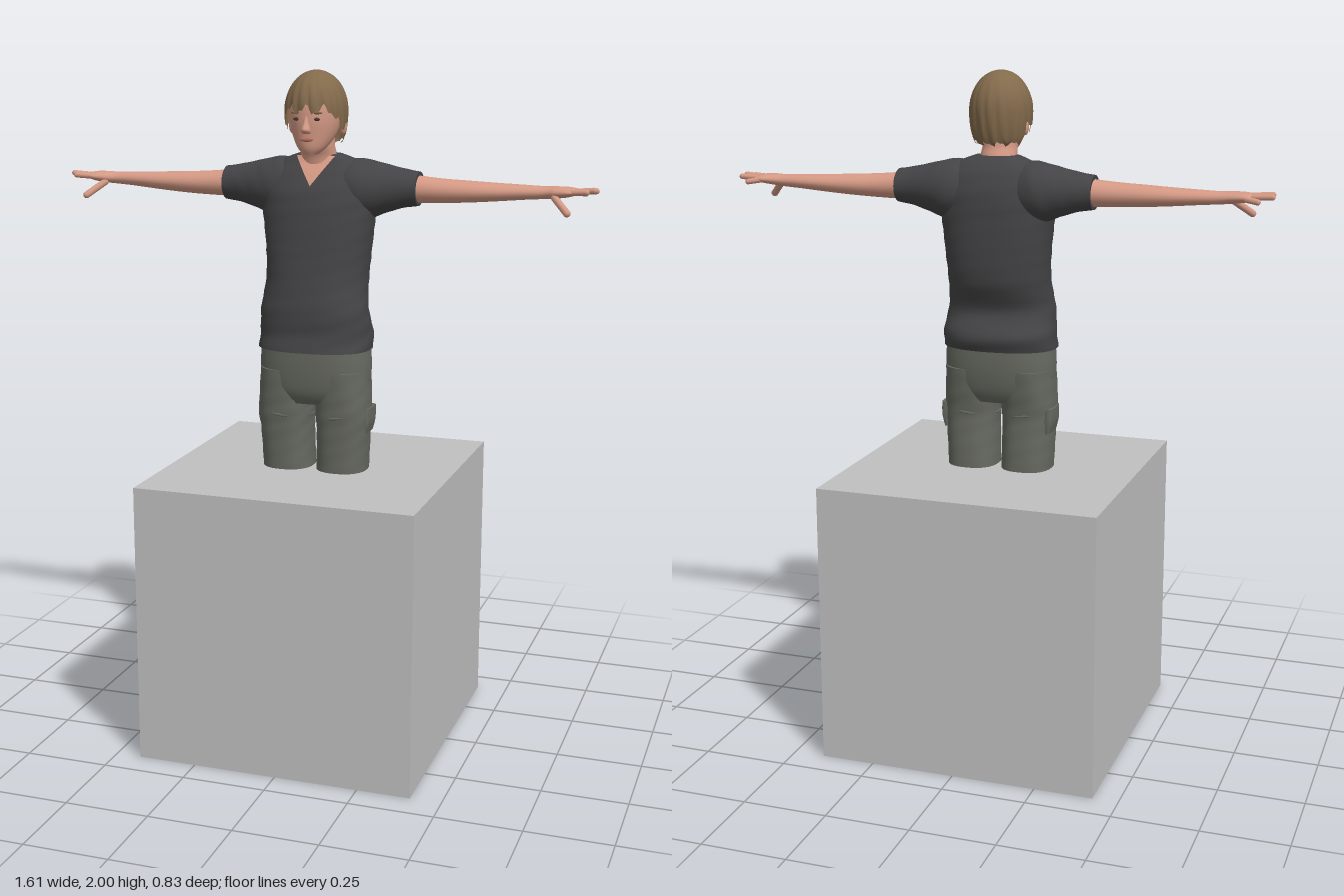
import * as THREE from 'three';

const CX = -0.008; // body centre line
const paint = (name, color, side = THREE.FrontSide) =>
  Object.assign(new THREE.MeshStandardMaterial({ color, side }), { name });

// Smoothly subdivide section rows: [position, centreA, centreB, halfA, halfB]
function dense(rows, k = 5) {
  const out = [];
  for (let i = 0; i < rows.length - 1; i++) {
    const a = rows[Math.max(i - 1, 0)], b = rows[i], c = rows[i + 1], d = rows[Math.min(i + 2, rows.length - 1)];
    for (let s = 0; s < k; s++) {
      const t = s / k;
      out.push(b.map((v, n) => 0.5 * (2 * v + (c[n] - a[n]) * t + (2 * a[n] - 5 * v + 4 * c[n] - d[n]) * t * t
        + (3 * v - a[n] - 3 * c[n] + d[n]) * t ** 3)));
    }
  }
  out.push(rows[rows.length - 1]);
  return out;
}

const power = (v, e) => Math.sign(v) * Math.abs(v) ** (2 / e);

// Closed skin over superellipse sections, along y (side 0) or along x (side 1 or -1)
function loft(rows, { side = 0, e = 2, n = 36, folds = 0 } = {}) {
  const d = dense(rows), flat = r => [r[0], r[1], r[2], 0, 0];
  const rings = [flat(d[0]), d[0], ...d, d[d.length - 1], flat(d[d.length - 1])];
  const pos = [], idx = [];
  rings.forEach(([t, ca, cb, ha, hb]) => {
    for (let j = 0; j < n; j++) {
      const q = j / n * Math.PI * 2;
      const f = 1 + folds * Math.sin(3 * q + t * 45) * Math.sin(t * 70 + 2 * Math.sin(q));
      const a = ca + ha * f * power(Math.cos(q), e), b = cb + hb * f * power(Math.sin(q), e);
      if (side) pos.push(CX + side * t, a, b); else pos.push(CX + a, t, b);
    }
  });
  for (let i = 0; i < rings.length - 1; i++) for (let j = 0; j < n; j++) {
    const a = i * n + j, b = i * n + (j + 1) % n, c = a + n, f = b + n;
    if (side > 0) idx.push(a, b, c, b, f, c); else idx.push(a, c, b, b, c, f);
  }
  return buffer(pos, idx);
}

function buffer(pos, idx) {
  const g = new THREE.BufferGeometry();
  g.setAttribute('position', new THREE.Float32BufferAttribute(pos, 3));
  g.setIndex(idx);
  g.computeVertexNormals();
  return g;
}

// Front depth of a lofted body at a given x and y
function frontZ(rows, x, y, e) {
  const d = dense(rows), i = Math.max(1, d.findIndex(r => r[0] >= y));
  const t = (y - d[i - 1][0]) / (d[i][0] - d[i - 1][0]);
  const r = d[i].map((v, n) => THREE.MathUtils.lerp(d[i - 1][n], v, t));
  return r[2] + r[4] * Math.max(0, 1 - Math.abs(x / r[3]) ** e) ** (1 / e);
}

const TORSO = [
  [1.2, 0, 0.015, 0.17, 0.122], [1.245, 0, 0.004, 0.168, 0.123], [1.315, 0, 0.02, 0.16, 0.106],
  [1.4, 0, -0.003, 0.152, 0.116], [1.5, 0, -0.015, 0.157, 0.115], [1.6, 0, -0.022, 0.168, 0.107],
  [1.66, 0, -0.027, 0.168, 0.098], [1.71, 0, -0.032, 0.15, 0.078], [1.742, 0, -0.032, 0.115, 0.058],
  [1.762, 0, -0.025, 0.065, 0.045]];
const HEAD = [
  [1.766, 0, 0.06, 0.022, 0.025], [1.785, 0, 0.045, 0.042, 0.049], [1.82, 0, 0.025, 0.062, 0.073],
  [1.86, 0, 0.014, 0.073, 0.088], [1.91, 0, 0.008, 0.076, 0.092], [1.95, 0, 0.007, 0.066, 0.08],
  [1.98, 0, 0.007, 0.038, 0.045]];

// Hair cap whose lower edge is high over the face and low at the nape
function hairShell() {
  const n = 96, m = 22, pos = [], idx = [];
  for (let i = 0; i <= m; i++) for (let j = 0; j < n; j++) {
    const u = j / n * Math.PI * 2, front = Math.sin(u), v = i / m;
    const face = THREE.MathUtils.smoothstep(front, 0.25, 0.75), back = THREE.MathUtils.smoothstep(-front, 0, 0.6);
    const edge = 2.05 - 0.5 * face + 0.55 * back + 0.1 * Math.sin(11 * u) + 0.06 * Math.sin(23 * u + 1);
    const p = v * edge, r = 1 + 0.022 * v * Math.sin(17 * u + 5 * v) + 0.012 * v * Math.sin(31 * u - 4 * v);
    const w = Math.sin(p) * (p > 1.57 ? 0.35 + 0.65 / Math.max(Math.sin(p), 0.5) : 1);
    pos.push(CX + 0.089 * r * Math.min(w, 1) * Math.cos(u), 1.89 + 0.11 * Math.cos(p), 0.007 + 0.099 * r * Math.min(w, 1) * Math.sin(u));
  }
  for (let i = 0; i < m; i++) for (let j = 0; j < n; j++) {
    const a = i * n + j, b = i * n + (j + 1) % n;
    idx.push(a, b, a + n, b, b + n, a + n);
  }
  return buffer(pos, idx);
}

// V-shaped opening that follows the chest
function neckOpening() {
  const pos = [], idx = [], m = 10;
  for (let i = 0; i <= m; i++) for (let j = 0; j <= m; j++) {
    const y = 1.675 + 0.083 * i / m, x = (j / m * 2 - 1) * 0.058 * i / m;
    pos.push(CX + x, y, frontZ(TORSO, x, y, 2.3) + 0.004);
  }
  for (let i = 0; i < m; i++) for (let j = 0; j < m; j++) {
    const a = i * (m + 1) + j, c = a + m + 1;
    idx.push(a, a + 1, c, a + 1, c + 1, c);
  }
  return buffer(pos, idx);
}

export function createModel() {
  const model = new THREE.Group();
  const stone = paint('blockGrey', 0xc0c0c0), shirt = paint('shirtCharcoal', 0x444446);
  const cloth = paint('trouserGreen', 0x666960), skin = paint('skin', 0xd59a85, THREE.DoubleSide);
  const hair = paint('hairBrown', 0x836a4c, THREE.DoubleSide), lip = paint('lips', 0xb56f63), dark = paint('eyeDark', 0x4a3a32);
  const add = (name, geometry, material, x = 0, y = 0, z = 0) => {
    const mesh = new THREE.Mesh(geometry, material);
    mesh.name = name;
    mesh.position.set(x, y, z);
    model.add(mesh);
    return mesh;
  };
  const blob = (name, mat, x, y, z, sx, sy, sz) =>
    add(name, new THREE.SphereGeometry(1, 16, 12).scale(sx, sy, sz), mat, CX + x, y, z);
  const finger = (name, from, to, r) => {
    const a = new THREE.Vector3(...from), b = new THREE.Vector3(...to), dir = b.clone().sub(a);
    const mesh = add(name, new THREE.CapsuleGeometry(r, dir.length() - r, 4, 10), skin);
    mesh.position.copy(a.add(b).multiplyScalar(0.5));
    mesh.quaternion.setFromUnitVectors(new THREE.Vector3(0, 1, 0), dir.normalize());
  };

  // Block
  add('block', new THREE.BoxGeometry(0.833, 0.835, 0.83), stone, CX, 0.4175, 0);

  // Shirt body, neck opening and neck
  add('shirtBody', loft(TORSO, { e: 2.3, n: 48, folds: 0.012 }), shirt);
  add('neckOpening', neckOpening(), skin);
  add('neck', loft([[1.7, 0, -0.02, 0.056, 0.05], [1.755, 0, -0.014, 0.053, 0.052], [1.79, 0, 0, 0.05, 0.055], [1.84, 0, 0, 0.05, 0.055]]), skin);

  // Head and face
  add('head', loft(HEAD), skin);
  add('hair', hairShell(), hair);
  add('nose', loft([[1.826, 0, 0.094, 0.013, 0.012], [1.836, 0, 0.1, 0.014, 0.021], [1.855, 0, 0.097, 0.009, 0.014], [1.88, 0, 0.092, 0.006, 0.008]], { n: 14 }), skin);
  blob('mouth', lip, 0, 1.809, frontZ(HEAD, 0, 1.809, 2), 0.021, 0.006, 0.004);

  // Hips
  add('hips', loft([[1.04, 0, 0.012, 0.13, 0.08], [1.08, 0, 0.012, 0.16, 0.1], [1.15, 0, 0.01, 0.166, 0.111], [1.23, 0, 0.01, 0.16, 0.112]], { e: 2.4, n: 48 }), cloth);

  for (const s of [1, -1]) {
    const side = s > 0 ? 'left' : 'right';
    // Eyes, brows and ears
    blob(side + 'Eye', dark, s * 0.029, 1.866, frontZ(HEAD, 0.029, 1.866, 2), 0.011, 0.005, 0.003);
    blob(side + 'Brow', hair, s * 0.03, 1.884, frontZ(HEAD, 0.03, 1.884, 2), 0.017, 0.004, 0.004);
    blob(side + 'Ear', skin, s * 0.077, 1.842, -0.005, 0.01, 0.024, 0.015);

    // Sleeve and arm
    add(side + 'Sleeve', loft([
      [0.06, 1.665, -0.03, 0.075, 0.07], [0.11, 1.664, -0.036, 0.087, 0.083], [0.15, 1.662, -0.04, 0.084, 0.082],
      [0.2, 1.665, -0.042, 0.069, 0.069], [0.25, 1.667, -0.042, 0.056, 0.058], [0.295, 1.667, -0.042, 0.049, 0.053]], { side: s, folds: 0.012 }), shirt);
    add(side + 'Arm', loft([
      [0.26, 1.667, -0.042, 0.041, 0.046], [0.36, 1.664, -0.041, 0.035, 0.043], [0.44, 1.664, -0.043, 0.031, 0.042],
      [0.52, 1.665, -0.047, 0.026, 0.038], [0.6, 1.667, -0.05, 0.021, 0.031], [0.655, 1.668, -0.05, 0.018, 0.027],
      [0.69, 1.67, -0.047, 0.017, 0.034], [0.725, 1.672, -0.048, 0.014, 0.041], [0.745, 1.673, -0.05, 0.009, 0.037]], { side: s, n: 24 }), skin);

    // Hand
    const tips = [[0.783, -0.012], [0.8, -0.034], [0.803, -0.06], [0.768, -0.092]];
    tips.forEach(([x, z], i) => finger(side + 'Finger' + (i + 1),
      [CX + s * 0.715, 1.672, -0.022 - i * 0.018], [CX + s * x, 1.676 - 0.004 * i * (i - 2), z], 0.0085));
    finger(side + 'Thumb', [CX + s * 0.685, 1.66, -0.026], [CX + s * 0.735, 1.617, 0.022], 0.0105);

    // Trouser leg with knee seam and cargo pocket
    const leg = [[0.82, 0.083, 0.008, 0.076, 0.082], [0.9, 0.086, 0.011, 0.077, 0.083], [0.97, 0.088, 0.015, 0.078, 0.085],
      [1.01, 0.088, 0.016, 0.08, 0.088], [1.06, 0.087, 0.013, 0.08, 0.094], [1.14, 0.083, 0.01, 0.08, 0.102]];
    add(side + 'TrouserLeg', loft(leg.map(r => [r[0], s * r[1], ...r.slice(2)]), { e: 2.4, folds: 0.012 }), cloth);
    const seam = add(side + 'KneeSeam', new THREE.TorusGeometry(0.079, 0.004, 6, 40).rotateX(Math.PI / 2).scale(1, 1, 1.09), cloth, CX + s * 0.088, 1.005, 0.016);
    seam.rotation.z = s * 0.12;
    const flap = [[0.95, 0.157, 0.002, 0.008, 0.042], [0.985, 0.16, 0.002, 0.013, 0.046], [1.025, 0.161, 0.002, 0.012, 0.046]];
    add(side + 'CargoPocket', loft(flap.map(r => [r[0], s * r[1], ...r.slice(2)]), { e: 4 }), cloth);
  }
  return model;
}
